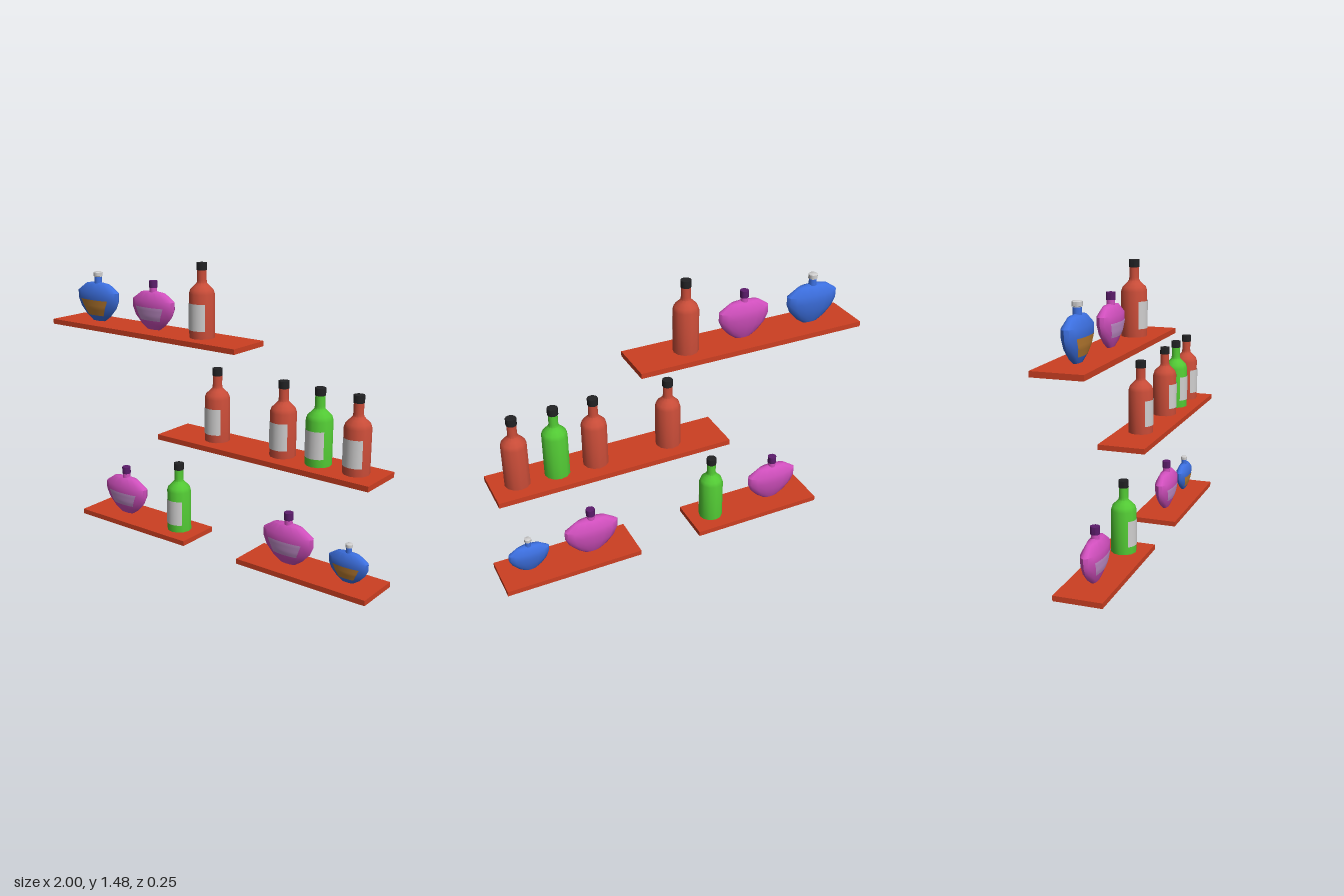
import * as THREE from 'three';
import { toCreasedNormals } from 'three/addons/utils/BufferGeometryUtils.js';

const mat = (name, color, side = THREE.FrontSide) => {
  const m = new THREE.MeshStandardMaterial({ color, side });
  m.name = name;
  return m;
};

const M = {
  shelf: mat('red shelf', 0xcc3f22, THREE.DoubleSide),
  red: mat('red glass', 0xc84c38),
  green: mat('green glass', 0x52c934),
  blue: mat('blue glass', 0x3c6fdf),
  pink: mat('pink glass', 0xd04fbd),
  black: mat('black cap', 0x222224),
  white: mat('pale grey', 0xd0cfcf, THREE.DoubleSide),
  purple: mat('purple cap', 0x5c1c6c),
  amber: mat('amber label', 0xbf7f32, THREE.DoubleSide),
  mauve: mat('mauve label', 0xc792cf, THREE.DoubleSide),
};

function add(group, name, geometry, material, y = 0) {
  const mesh = new THREE.Mesh(geometry, material);
  mesh.name = name;
  mesh.position.y = y;
  group.add(mesh);
  return mesh;
}

const lathe = (points, sides, depth = 1) => toCreasedNormals(
  new THREE.LatheGeometry(points.map(p => new THREE.Vector2(...p)), sides).scale(1, 1, depth), 0.75);

// Shelf board, hollow and open underneath
function shelf(x0, x1, top) {
  const h = 0.027;
  const geo = new THREE.BoxGeometry(x1 - x0, h, 0.246);
  geo.setIndex([...geo.index.array].filter((_, i) => i < 18 || i >= 24));
  geo.clearGroups();
  const g = new THREE.Group();
  g.name = 'shelf';
  add(g, 'shelfBoard', geo, M.shelf, top - h / 2).position.x = (x0 + x1) / 2;
  return g;
}

// Tall round bottle with a wrapped front label
function tallBottle(glass) {
  const g = new THREE.Group();
  g.name = 'tallBottle';
  add(g, 'bottleBody', lathe([
    [0, 0], [0.065, 0], [0.065, 0.222], [0.058, 0.243], [0.04, 0.26],
    [0.026, 0.275], [0.024, 0.29], [0.024, 0.345],
  ], 12), glass);
  add(g, 'bottleCap', lathe([[0, 0], [0.027, 0], [0.027, 0.036], [0, 0.036]], 10), M.black, 0.339);
  add(g, 'bottleLabel', new THREE.CylinderGeometry(0.067, 0.067, 0.135, 6, 1, true, -0.9, 1.8), M.white, 0.108);
  return g;
}

// Flattened flask: half-width and height of the outline
const FLASK = [
  [0, 0], [0.045, 0], [0.085, 0.028], [0.128, 0.075],
  [0.148, 0.12], [0.148, 0.162], [0.085, 0.205], [0, 0.217],
];
const DEPTH = 0.32;

function flaskRadius(y) {
  const i = FLASK.findIndex((p, k) => k > 1 && p[1] >= y);
  const [a, b] = [FLASK[i - 1], FLASK[i]];
  return a[0] + (b[0] - a[0]) * (y - a[1]) / (b[1] - a[1]);
}

// Tapered label that follows the curve of the flask's front
function flaskLabel(y0, y1, half0, half1) {
  const geo = new THREE.PlaneGeometry(2, 1, 10, 8);
  const p = geo.attributes.position;
  for (let i = 0; i < p.count; i++) {
    const t = p.getY(i) + 0.5;
    const y = y0 + (y1 - y0) * t;
    const x = p.getX(i) * (half0 + (half1 - half0) * t);
    p.setXYZ(i, x, y, DEPTH * Math.sqrt(flaskRadius(y) ** 2 - x * x) + 0.002);
  }
  geo.computeVertexNormals();
  return geo;
}

function flask(isBlue) {
  const g = new THREE.Group();
  g.name = 'flask';
  const glass = isBlue ? M.blue : M.pink;
  add(g, 'flaskBody', lathe(FLASK, 16, DEPTH), glass);
  add(g, 'flaskNeck', new THREE.CylinderGeometry(0.02, 0.022, 0.04, 10), glass, 0.222);
  if (isBlue) {
    add(g, 'flaskStopper', lathe([
      [0, 0], [0.019, 0], [0.019, 0.014], [0.025, 0.016], [0.025, 0.037], [0.021, 0.04], [0, 0.04],
    ], 10), M.white, 0.23);
    add(g, 'flaskLabel', flaskLabel(0.032, 0.119, 0.056, 0.098), M.amber);
  } else {
    add(g, 'flaskCap', lathe([[0, 0], [0.024, 0], [0.024, 0.038], [0, 0.038]], 10), M.purple, 0.232);
    add(g, 'flaskLabel', flaskLabel(0.053, 0.127, 0.068, 0.098), M.mauve);
  }
  return g;
}

export function createModel() {
  const model = new THREE.Group();
  model.name = 'bottleShelves';

  // Each shelf: left, right, top height, then items as kind, x, scale
  const layout = [
    [-1, 0.24, 1.107, [['blue', -0.768, 0.985], ['pink', -0.373, 0.945], ['red', -0.052, 1]]],
    [-0.25, 0.99, 0.586, [['red', 0.047, 1], ['red', 0.448, 1], ['green', 0.652, 1], ['red', 0.857, 1]]],
    [-0.82, -0.083, 0.027, [['pink', -0.595, 1], ['green', -0.212, 1]]],
    [0.263, 1, 0.027, [['pink', 0.493, 1], ['blue', 0.838, 0.735]]],
  ];
  for (const [x0, x1, top, items] of layout) {
    model.add(shelf(x0, x1, top));
    for (const [kind, x, s] of items) {
      const item = kind === 'red' || kind === 'green' ? tallBottle(M[kind]) : flask(kind === 'blue');
      item.position.set(x, top + 0.001, 0);
      item.scale.setScalar(s);
      model.add(item);
    }
  }
  return model;
}
